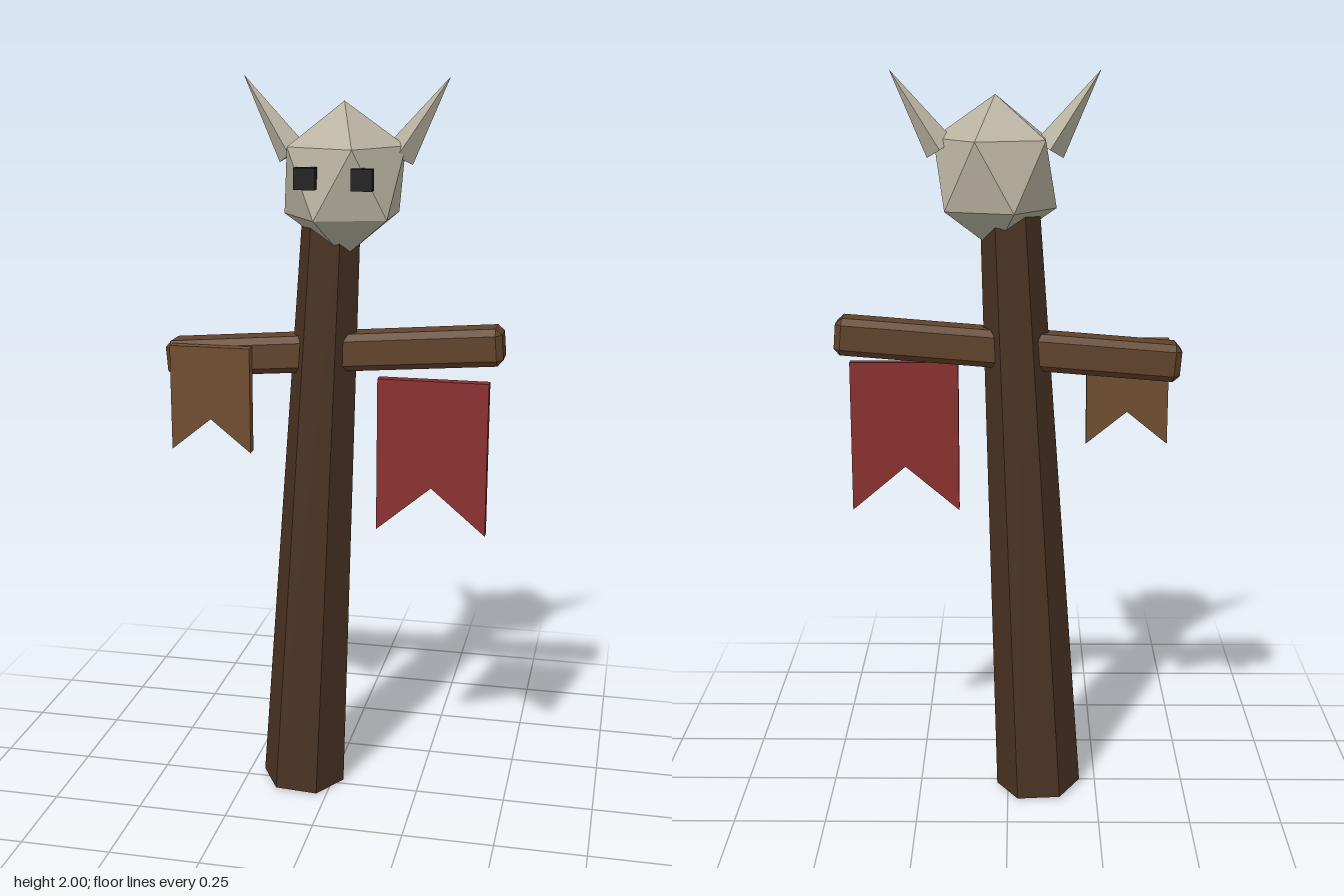
import * as THREE from 'three';
import { ConvexGeometry } from 'three/addons/geometries/ConvexGeometry.js';

const paint = (color) => new THREE.MeshStandardMaterial({ color, flatShading: true });

const postMat = paint(0x4a3222);
const barMat = paint(0x60422a);
const boneMat = paint(0xb8b2a0);
const eyeMat = paint(0x1c1c1c);
const tanMat = paint(0x704d30);
const redMat = paint(0x8a3030);

function add(parent, name, geometry, material, x, y, z) {
  const mesh = new THREE.Mesh(geometry, material);
  mesh.name = name;
  mesh.position.set(x, y, z);
  parent.add(mesh);
  return mesh;
}

// Box with every edge cut at 45 degrees
function chamferedBox(w, h, d, c) {
  const points = [];
  for (const sx of [-1, 1]) for (const sy of [-1, 1]) for (const sz of [-1, 1]) {
    for (let axis = 0; axis < 3; axis++) {
      const half = [w / 2 - c, h / 2 - c, d / 2 - c];
      half[axis] += c;
      points.push(new THREE.Vector3(sx * half[0], sy * half[1], sz * half[2]));
    }
  }
  return new ConvexGeometry(points);
}

// Hanging cloth with a V cut out of its lower edge; origin at the top centre
function swallowtail(width, length, notch, depth) {
  const w = width / 2;
  const shape = new THREE.Shape([
    new THREE.Vector2(-w, 0),
    new THREE.Vector2(-w, -length),
    new THREE.Vector2(0, notch - length),
    new THREE.Vector2(w, -length),
    new THREE.Vector2(w, 0),
  ]);
  return new THREE.ExtrudeGeometry(shape, { depth, bevelEnabled: false });
}

export function createModel() {
  const model = new THREE.Group();
  model.name = 'skullTotem';

  // Leaning, tapered six-sided post, pivoted at its foot
  const postGeo = new THREE.CylinderGeometry(0.078, 0.118, 1.65, 6, 1, false, Math.PI / 6);
  postGeo.translate(0, 0.825, 0);
  add(model, 'post', postGeo, postMat, -0.087, 0.007, -0.022).rotation.z = -0.05;

  // Tilted crossbar
  add(model, 'crossbar', chamferedBox(0.92, 0.1, 0.1, 0.017), barMat, 0, 1.28, -0.023).rotation.z = 0.08;

  // Banners
  add(model, 'rightBanner', swallowtail(0.222, 0.29, 0.09, 0.03), tanMat, -0.324, 1.292, 0.027);
  add(model, 'leftBanner', swallowtail(0.295, 0.418, 0.125, 0.03), redMat, 0.283, 1.228, 0.027);

  // Skull: an icosahedron standing on a point, stretched upward
  const head = new THREE.Group();
  head.name = 'head';
  head.position.set(0.033, 1.738, -0.004);
  model.add(head);

  const skullGeo = new THREE.IcosahedronGeometry(0.179, 0);
  skullGeo.rotateZ(-Math.atan(2 / (1 + Math.sqrt(5))));
  skullGeo.scale(1, 1.12, 1);
  add(head, 'skull', skullGeo, boneMat, 0, 0, 0);

  // Mirrored horns and eyes
  for (const [side, s] of [['left', 1], ['right', -1]]) {
    const hornGeo = new THREE.ConeGeometry(0.042, 0.237, 4);
    hornGeo.translate(0, 0.1185, 0);
    add(head, side + 'Horn', hornGeo, boneMat, s * 0.141, 0.063, -0.018).rotation.z = -s * 0.575;
    add(head, side + 'Eye', new THREE.BoxGeometry(0.055, 0.055, 0.027), eyeMat, 0.003 + s * 0.073, 0.017, 0.147);
  }

  return model;
}
